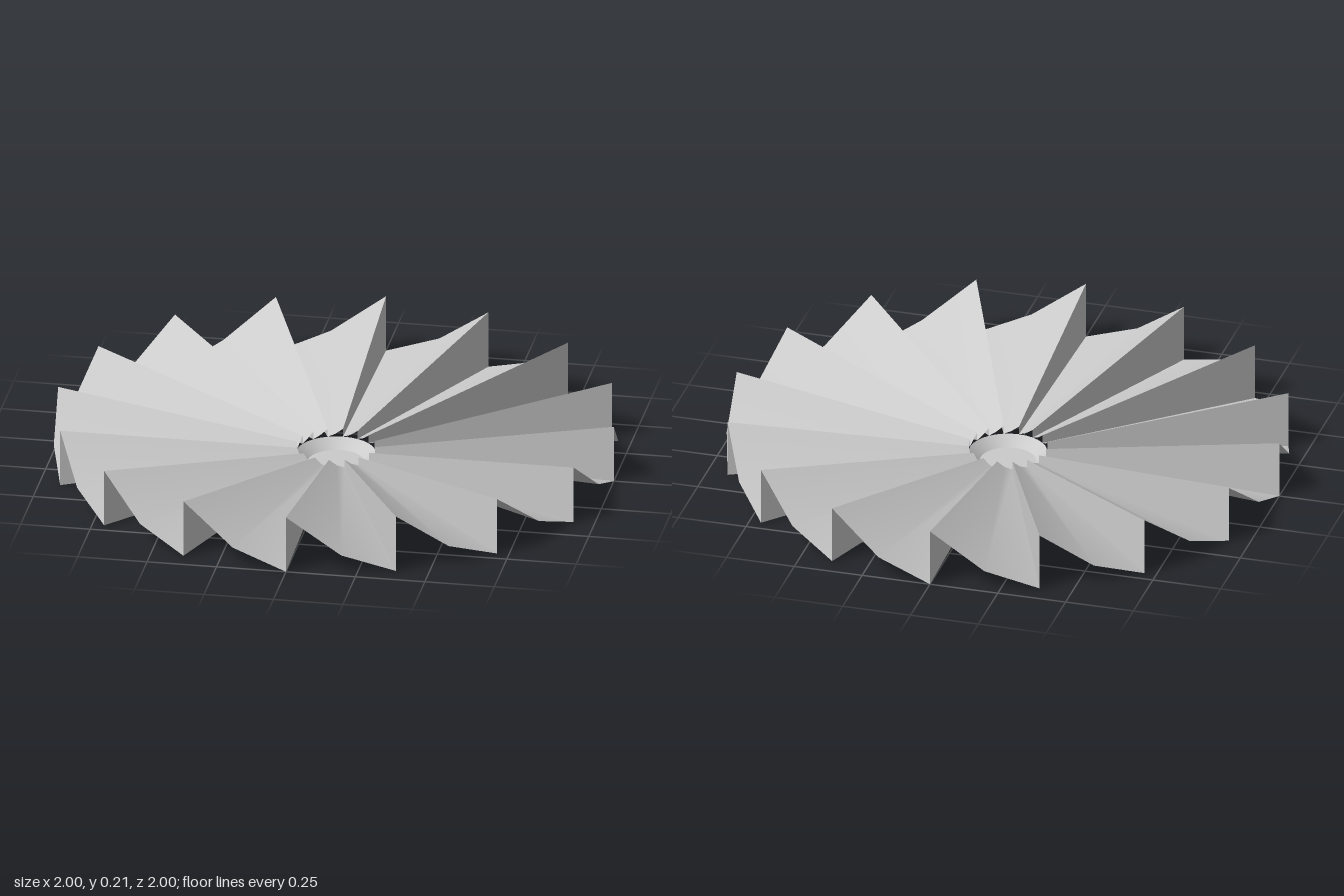
import * as THREE from 'three';

const BLADES = 16;
const STEP = (Math.PI * 2) / BLADES;
const HUB_R = 0.14, HUB_Y = 0.035, FLOOR_R = 0.1;
// falling profile of one blade, from its raised edge to its low edge
const RIM_Y = [0.21, 0.07, 0];
const ROOT_Y = [0.065, 0.045, HUB_Y];

const polar = (a, r, y) => [r * Math.sin(a), y, r * Math.cos(a)];

function surface(points, index, material, name) {
  const g = new THREE.BufferGeometry();
  g.setAttribute('position', new THREE.Float32BufferAttribute(points.flat(), 3));
  g.setIndex(index);
  g.computeVertexNormals();
  const mesh = new THREE.Mesh(g, material);
  mesh.name = name;
  return mesh;
}

export function createModel() {
  const model = new THREE.Group();
  model.name = 'bladedWheel';
  const material = new THREE.MeshStandardMaterial({ color: 0xcccccc, side: THREE.DoubleSide });

  for (let i = 0; i < BLADES; i++) {
    const a = i * STEP;
    const blade = new THREE.Group();
    blade.name = 'blade';

    // curved slope: pairs of root and rim points along the profile
    const pts = [], index = [];
    RIM_Y.forEach((y, j) => {
      const b = a + (j * STEP) / 2;
      pts.push(polar(b, HUB_R, ROOT_Y[j]), polar(b, 1, y));
      if (j < 2) {
        const k = j * 2;
        index.push(k, k + 1, k + 2, k + 1, k + 3, k + 2);
      }
    });
    blade.add(surface(pts, index, material, 'bladeSlope'));

    // upright step up from the neighbouring blade's low edge
    const wall = [polar(a, HUB_R, HUB_Y), polar(a, 1, 0), polar(a, 1, RIM_Y[0]), polar(a, HUB_R, ROOT_Y[0])];
    blade.add(surface(wall, [0, 1, 2, 0, 2, 3], material, 'bladeStep'));
    model.add(blade);
  }

  // shallow dish in the middle
  const hubWall = new THREE.Mesh(new THREE.CylinderGeometry(HUB_R, FLOOR_R, HUB_Y, 32, 1, true), material);
  hubWall.position.y = HUB_Y / 2;
  hubWall.name = 'hubWall';
  const hubFloor = new THREE.Mesh(new THREE.CircleGeometry(FLOOR_R, 32), material);
  hubFloor.rotation.x = -Math.PI / 2;
  hubFloor.name = 'hubFloor';
  model.add(hubWall, hubFloor);

  return model;
}
